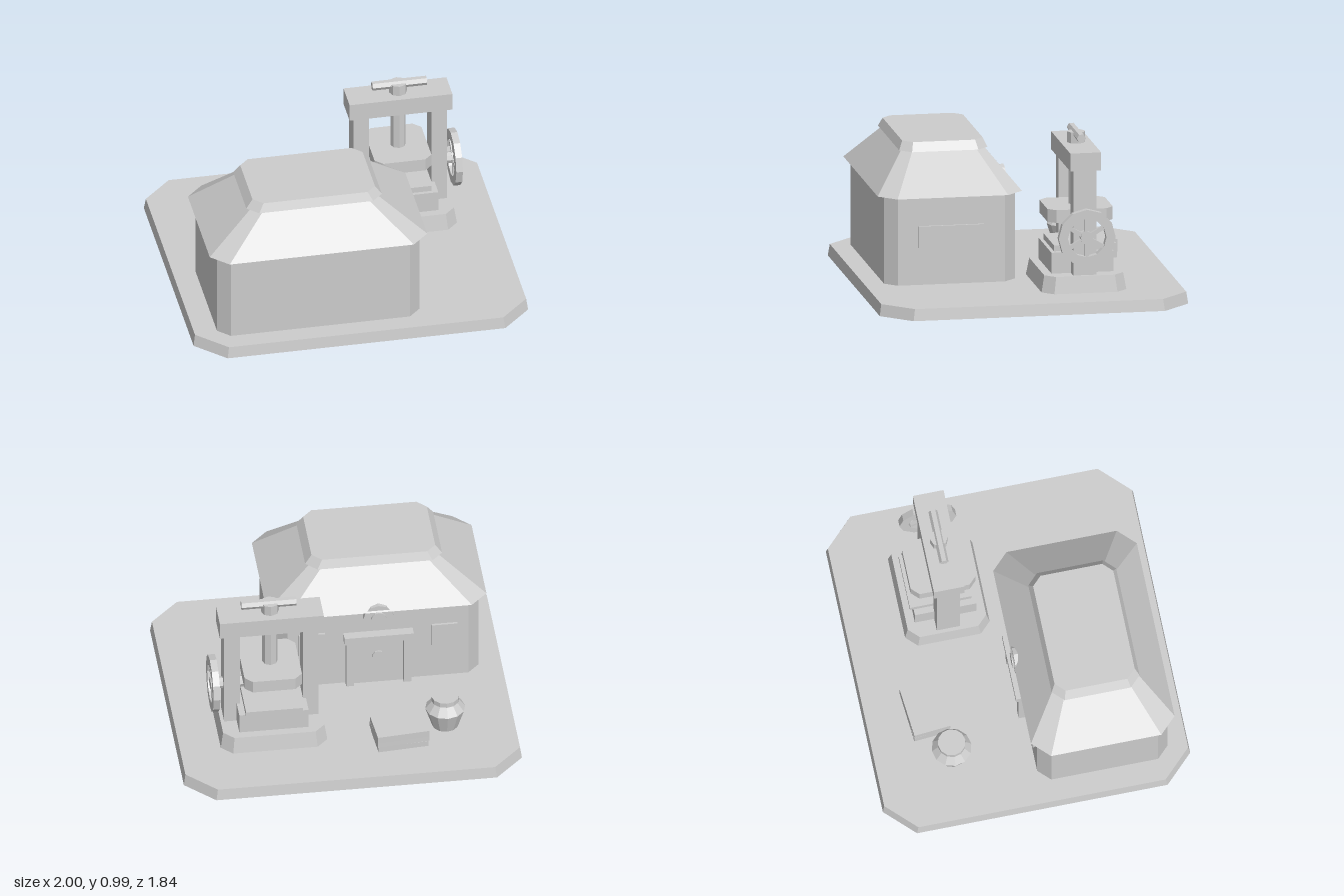
import * as THREE from 'three';

const stone = new THREE.MeshStandardMaterial({ color: 0xcccccc, flatShading: true, side: THREE.DoubleSide });
stone.name = 'pale grey';

// Prism with clipped corners, open underneath; [halfX, halfZ, clip] at bottom and top
function clippedPrism(bottom, top, height) {
  const ring = ([x, z, c], y) => [
    [x, z - c], [x - c, z], [-x + c, z], [-x, z - c],
    [-x, -z + c], [-x + c, -z], [x - c, -z], [x, -z + c],
  ].map(([px, pz]) => [px, y, pz]);
  const a = ring(bottom, 0), b = ring(top, height), pos = [];
  const tri = (...pts) => pts.forEach((p) => pos.push(...p));
  for (let i = 0; i < 8; i++) {
    const j = (i + 1) % 8;
    tri(a[i], b[j], b[i]);
    tri(a[i], a[j], b[j]);
    tri([0, height, 0], b[i], b[j]);
  }
  // Rings run from +x through +z, so flip every triangle to face outward
  for (let t = 0; t < pos.length; t += 9) {
    for (let k = 3; k < 6; k++) [pos[t + k], pos[t + k + 3]] = [pos[t + k + 3], pos[t + k]];
  }
  const g = new THREE.BufferGeometry();
  g.setAttribute('position', new THREE.Float32BufferAttribute(pos, 3));
  g.computeVertexNormals();
  return g;
}

function add(group, name, geometry, x, y, z) {
  const mesh = new THREE.Mesh(geometry, stone);
  mesh.name = name;
  mesh.position.set(x, y, z);
  group.add(mesh);
  return mesh;
}

const box = (w, h, d) => new THREE.BoxGeometry(w, h, d);
const rod = (r, len, sides) => new THREE.CylinderGeometry(r, r, len, sides);

function makeHouse() {
  const g = new THREE.Group();
  g.name = 'house';
  g.position.set(-0.25, 0, 0.403);
  add(g, 'walls', clippedPrism([0.605, 0.39, 0.07], [0.605, 0.39, 0.07], 0.53), 0, 0.07, 0);
  add(g, 'roof', clippedPrism([0.65, 0.43, 0.1], [0.37, 0.245, 0.055], 0.225), 0, 0.598, 0);
  add(g, 'roofCap', clippedPrism([0.405, 0.263, 0.065], [0.366, 0.24, 0.055], 0.052), 0, 0.823, 0);
  add(g, 'sidePanel', box(0.03, 0.13, 0.39), 0.605, 0.358, 0.002);

  // Back wall: door, frame, windows and round sign
  const wallZ = -0.39;
  add(g, 'door', box(0.3, 0.33, 0.03), 0, 0.23, wallZ);
  add(g, 'lintel', box(0.41, 0.047, 0.08), 0, 0.412, wallZ - 0.018);
  for (const s of [-1, 1]) {
    add(g, 'doorPost', box(0.045, 0.32, 0.06), s * 0.17, 0.23, wallZ - 0.01);
    add(g, 'window', box(0.155, 0.15, 0.03), s * 0.392, 0.375, wallZ);
  }
  add(g, 'doorKnob', rod(0.035, 0.05, 10), 0, 0.265, wallZ).rotation.x = Math.PI / 2;
  add(g, 'signDisc', rod(0.09, 0.05, 12), 0, 0.55, wallZ - 0.008).rotation.x = Math.PI / 2;
  add(g, 'signBoss', rod(0.045, 0.06, 12), 0, 0.55, wallZ - 0.015).rotation.x = Math.PI / 2;
  return g;
}

// Spoked wheel facing +x
function makeWheel() {
  const g = new THREE.Group();
  g.name = 'handWheel';
  const loop = (path, r) => {
    for (let i = 0; i < 12; i++) {
      const a = (i * Math.PI) / 6;
      path[i ? 'lineTo' : 'moveTo'](r * Math.cos(a), r * Math.sin(a));
    }
    path.closePath();
    return path;
  };
  const shape = loop(new THREE.Shape(), 0.17);
  shape.holes.push(loop(new THREE.Path(), 0.115));
  const rim = new THREE.ExtrudeGeometry(shape, { depth: 0.04, bevelEnabled: false });
  add(g, 'rim', rim.translate(0, 0, -0.02).rotateY(Math.PI / 2), 0, 0, 0);
  for (let i = 0; i < 3; i++) {
    add(g, 'spoke', box(0.022, 0.235, 0.024), 0, 0, 0).rotation.x = (i * Math.PI) / 3;
  }
  add(g, 'hub', rod(0.038, 0.036, 10), 0, 0, 0).rotation.z = Math.PI / 2;
  return g;
}

function makePress() {
  const g = new THREE.Group();
  g.name = 'screwPress';
  g.position.set(0.435, 0, -0.325);
  add(g, 'plinth', clippedPrism([0.315, 0.253, 0.065], [0.3, 0.235, 0.06], 0.1), 0, 0.07, 0);
  add(g, 'bed', box(0.41, 0.125, 0.37), 0, 0.2325, 0);
  add(g, 'tray', box(0.335, 0.035, 0.37), 0, 0.3125, -0.022);
  add(g, 'platen', clippedPrism([0.17, 0.195, 0.045], [0.17, 0.195, 0.045], 0.077), 0, 0.465, 0);
  for (const s of [-1, 1]) add(g, 'column', box(0.092, 0.63, 0.138), s * 0.233, 0.485, 0);
  add(g, 'topBeam', box(0.615, 0.108, 0.184), 0, 0.856, 0);
  add(g, 'screw', rod(0.046, 0.36, 8), 0, 0.66, 0);
  add(g, 'screwHead', rod(0.053, 0.08, 8), 0, 0.935, 0);
  add(g, 'handle', rod(0.027, 0.325, 6), 0.007, 0.966, 0).rotation.z = Math.PI / 2;
  add(g, 'axle', rod(0.035, 0.19, 8), 0.222, 0.409, 0).rotation.z = Math.PI / 2;
  const wheel = makeWheel();
  wheel.position.set(0.335, 0.409, 0);
  g.add(wheel);
  return g;
}

// Tapered jar with a sloped shoulder and a flat lid
function makeJar() {
  const g = new THREE.Group();
  g.name = 'jar';
  g.position.set(-0.585, 0.07, -0.458);
  add(g, 'jarBody', new THREE.CylinderGeometry(0.118, 0.078, 0.125, 12), 0, 0.0625, 0);
  add(g, 'jarShoulder', new THREE.CylinderGeometry(0.075, 0.118, 0.055, 12), 0, 0.1525, 0);
  add(g, 'jarLid', rod(0.082, 0.03, 12), 0, 0.195, 0);
  return g;
}

// Stack of slightly turned slabs
function makeStack() {
  const g = new THREE.Group();
  g.name = 'slabStack';
  g.position.set(-0.302, 0.07, -0.56);
  [[0.3, 0.215, 0.035, 0.08], [0.31, 0.215, 0.035, 0.1], [0.31, 0.22, 0.04, 0.088]].reduce((y, [w, d, h, turn]) => {
    add(g, 'slab', box(w, h, d), 0, y + h / 2, 0).rotation.y = turn;
    return y + h;
  }, 0);
  return g;
}

export function createModel() {
  const model = new THREE.Group();
  model.name = 'pressHouse';
  add(model, 'ground', clippedPrism([1, 0.92, 0.17], [0.99, 0.91, 0.17], 0.07), 0, 0, 0);
  model.add(makeHouse(), makePress(), makeJar(), makeStack());
  return model;
}
